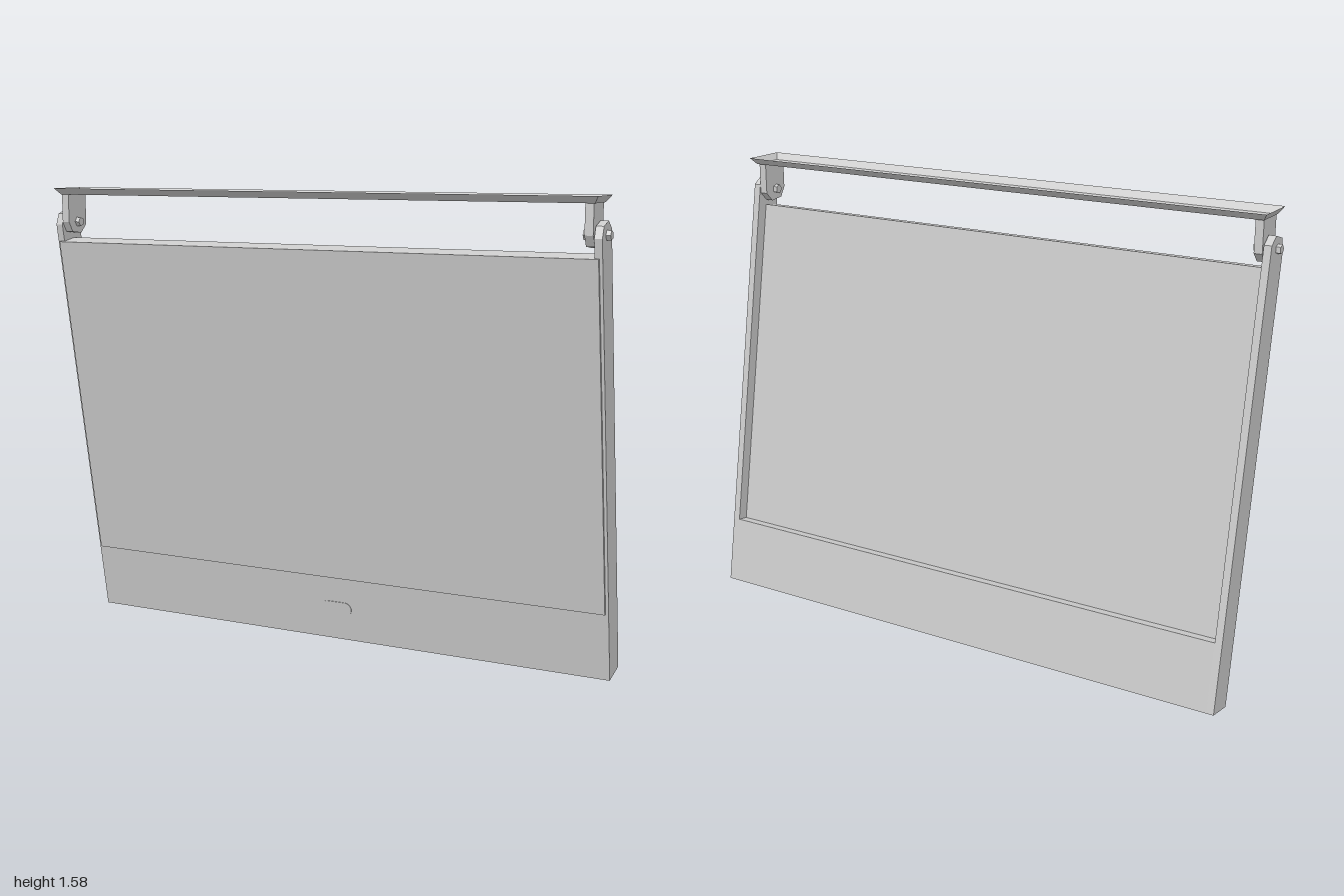
import * as THREE from 'three';

const PIVOT_Y = 1.4625, PIVOT_Z = 0.117, TILT = THREE.MathUtils.degToRad(9.9);
const HALF = 0.051; // half thickness of the leaf

const grey = new THREE.MeshStandardMaterial({ color: 0xcccccc, flatShading: true });
const sheet = new THREE.MeshStandardMaterial({ color: 0xcccccc, flatShading: true, side: THREE.DoubleSide });

function add(parent, name, geometry, material = grey) {
  const mesh = new THREE.Mesh(geometry, material);
  mesh.name = name;
  parent.add(mesh);
  return mesh;
}

// Box given by its limits
function block(x0, x1, y0, y1, z0, z1) {
  return new THREE.BoxGeometry(x1 - x0, y1 - y0, z1 - z0)
    .translate((x0 + x1) / 2, (y0 + y1) / 2, (z0 + z1) / 2);
}

// Strap with a faceted round end at the origin, running to y = end, extruded along x
function strap(end, x0, x1) {
  const s = Math.sign(end), r = HALF;
  const shape = new THREE.Shape([
    [-r, end], [r, end], [r, 0], [r * 0.6, -s * 0.034], [-r * 0.4, -s * 0.04], [-r, -s * 0.01],
  ].map(([z, y]) => new THREE.Vector2(z, y)));
  return new THREE.ExtrudeGeometry(shape, { depth: x1 - x0, bevelEnabled: false })
    .rotateY(-Math.PI / 2).translate(x1, 0, 0);
}

// Shallow open tray: flat floor with four flared walls
function trayGeometry() {
  const ring = (x, y, z0, z1) => [[-x, y, z0], [-x, y, z1], [x, y, z1], [x, y, z0]];
  const points = [...ring(0.96, 1.558, 0.056, 0.168), ...ring(0.975, 1.58, 0.036, 0.19)];
  const index = [0, 1, 2, 0, 2, 3];
  for (let i = 0; i < 4; i++) {
    const j = (i + 1) % 4;
    index.push(i, i + 4, j + 4, i, j + 4, j);
  }
  const g = new THREE.BufferGeometry();
  g.setAttribute('position', new THREE.Float32BufferAttribute(points.flat(), 3));
  g.setIndex(index);
  const flat = g.toNonIndexed();
  flat.computeVertexNormals();
  return flat;
}

// Pill-shaped plate
function pillGeometry(halfLength, r, depth) {
  const c = halfLength - r;
  const s = new THREE.Shape();
  s.absarc(c, 0, r, -Math.PI / 2, Math.PI / 2);
  s.absarc(-c, 0, r, Math.PI / 2, Math.PI * 1.5);
  s.closePath();
  return new THREE.ExtrudeGeometry(s, { depth, bevelEnabled: false, curveSegments: 6 });
}

export function createModel() {
  const model = new THREE.Group();
  model.name = 'hangingPanel';

  // Tilted leaf, its local origin on the hinge axis
  const leaf = new THREE.Group();
  leaf.name = 'tiltedLeaf';
  leaf.position.set(0, PIVOT_Y, PIVOT_Z);
  leaf.rotation.x = TILT;
  model.add(leaf);

  add(leaf, 'bottomRail', block(-0.96, 0.96, -1.475, -1.24, -HALF, HALF));
  add(leaf, 'backBoard', block(-0.96, 0.96, -1.24, -0.06, -0.011, HALF));
  add(leaf, 'frontPanel', block(-0.975, 0.975, -1.234, -0.06, HALF - 0.001, 0.06));
  add(leaf, 'frontButton', pillGeometry(0.058, 0.025, 0.004))
    .position.set(0, -1.355, HALF - 0.002);

  // Fixed hanger with its tray
  const hanger = new THREE.Group();
  hanger.name = 'hanger';
  model.add(hanger);
  add(hanger, 'tray', trayGeometry(), sheet);

  for (const [side, sign] of [['left', 1], ['right', -1]]) {
    const span = (a, b) => (sign > 0 ? [a, b] : [-b, -a]);

    add(leaf, side + 'Arm', strap(-1.475, ...span(0.96, 0.985)));

    add(hanger, side + 'Tab', strap(1.558 - PIVOT_Y, ...span(0.93, 0.957)))
      .position.set(0, PIVOT_Y, PIVOT_Z);

    const pin = new THREE.CylinderGeometry(0.016, 0.016, 0.086, 5).rotateZ(Math.PI / 2);
    add(hanger, side + 'Pin', pin).position.set(sign * 0.957, PIVOT_Y, PIVOT_Z);
  }

  return model;
}
